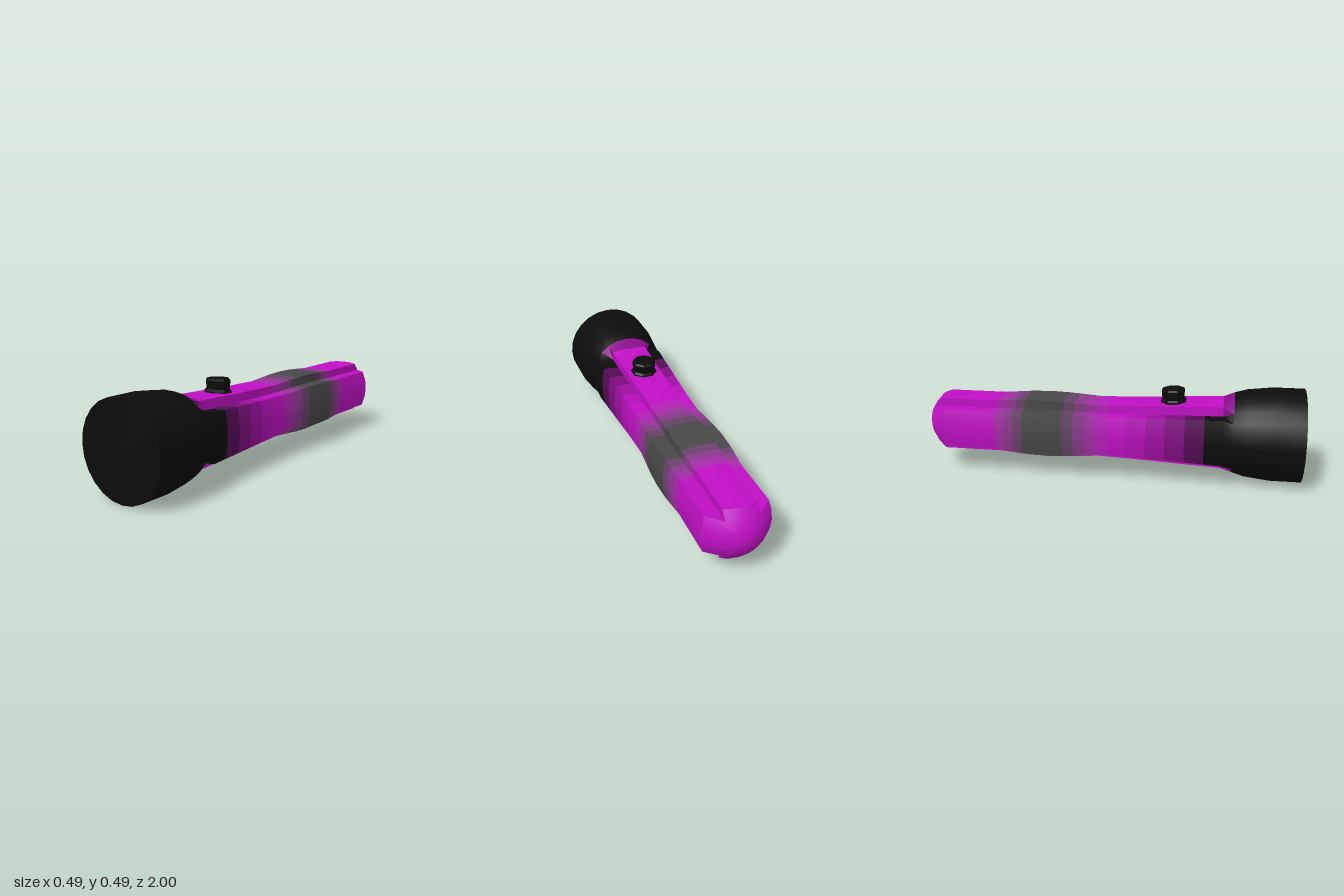
import * as THREE from 'three';
import { toCreasedNormals } from 'three/addons/utils/BufferGeometryUtils.js';

const CY = 0.245; // height of the long axis
const SIDES = 24;
const BLACK = 0x0c0c0c, PURPLE = 0xc010c4, GREY = 0x484848;

// Linear interpolation through [z, value] stops ordered front to back
function stopAt(stops, z) {
  let i = 0;
  while (i < stops.length - 2 && z < stops[i + 1][0]) i++;
  const [z0, a] = stops[i], [z1, b] = stops[i + 1];
  return [a, b, THREE.MathUtils.clamp((z0 - z) / (z0 - z1), 0, 1)];
}

// Grip quadrant: rounded side, square notch, gently crowned top
const QUADRANT = [[0.17, 0], [0.168, 0.05], [0.158, 0.103], [0.084, 0.099], [0.084, 0.141], [0.044, 0.144], [0, 0.145]];

function gripPoint(j) {
  const q = Math.floor(j / 6) % 4, k = j % 6;
  const [x, y] = QUADRANT[q % 2 ? 6 - k : k];
  return [q === 1 || q === 2 ? -x : x, q >= 2 ? -y : y];
}

const gripRing = (s, zAt) => Array.from({ length: SIDES }, (_, j) => {
  const [x, y] = gripPoint(j);
  return new THREE.Vector3(x * s, CY + y * s, zAt(Math.hypot(x, y) * s));
});

const roundRing = (r, z) => Array.from({ length: SIDES }, (_, j) => {
  const t = (j / SIDES) * Math.PI * 2;
  return new THREE.Vector3(r * Math.cos(t), CY + r * Math.sin(t), z);
});

// Grip swelling along its length
const SWELL = [[0.59, 1.18], [0.3, 1.09], [0.1, 1.03], [-0.06, 1], [-0.24, 1.08], [-0.34, 1.1], [-0.45, 1.08], [-0.6, 1], [-1, 1]];
const GRIP_Z = [0.59, 0.5, 0.4, 0.3, 0.2, 0.1, 0, -0.06, -0.12, -0.18, -0.24, -0.34, -0.45, -0.5, -0.55, -0.6, -0.68];

// Colour fades, sampled once per band
const REAR_FADE = [[-0.24, GREY], [-0.44, GREY], [-0.64, PURPLE], [-1, PURPLE]];
const FADES = {
  ridge: [[0.66, BLACK], [0.57, PURPLE], [0, PURPLE], ...REAR_FADE],
  side: [[0.52, BLACK], [0.1, PURPLE], [0, PURPLE], ...REAR_FADE],
};

function bandColor(zone, z) {
  const [a, b, t] = stopAt(FADES[zone], z);
  return new THREE.Color(a).lerp(new THREE.Color(b), t);
}

function buildBody(group) {
  // Rings from the lens, back through the flared head and grip, to the domed tail
  const rings = [roundRing(0, 1)];
  const names = [];
  const add = (ring, name) => { rings.push(ring); names.push(name); };
  add(roundRing(0.244, 1), 'lens');
  for (const [z, r] of [[0.84, 0.244], [0.71, 0.229], [0.645, 0.21]]) add(roundRing(r, z), 'head');
  for (const z of GRIP_Z) {
    const [a, b, t] = stopAt(SWELL, z);
    add(gripRing(a + (b - a) * t, () => z), z === 0.59 ? 'collar' : 'grip');
  }
  const dome = (r) => -1 + 3.46 * r * r;
  add(gripRing(1, dome), 'grip');
  for (const s of [0.75, 0.5, 0.25, 0]) add(gripRing(s, dome), 'tailCap');

  // Skin the rings, tagging each triangle with its part
  const pts = [], tags = [], parts = new Map();
  const tri = (a, b, c, key) => {
    if (a.distanceTo(b) < 1e-6 || b.distanceTo(c) < 1e-6 || a.distanceTo(c) < 1e-6) return;
    pts.push(a, b, c);
    tags.push(key);
  };
  names.forEach((name, i) => {
    const A = rings[i], B = rings[i + 1];
    const banded = name === 'grip' || name === 'collar';
    for (let j = 0; j < SIDES; j++) {
      const k = (j + 1) % SIDES;
      const zone = j % 12 >= 3 && j % 12 < 9 ? 'ridge' : 'side';
      const key = banded ? `${zone}${name === 'grip' ? 'Grip' : 'Collar'}${i}` : name;
      if (!parts.has(key)) {
        const color = banded ? bandColor(zone, (A[j].z + B[j].z) / 2)
          : new THREE.Color(name === 'tailCap' ? PURPLE : BLACK);
        parts.set(key, { color, pos: [], nor: [] });
      }
      tri(A[j], B[j], A[k], key);
      tri(A[k], B[j], B[k], key);
    }
  });

  // Shade the whole skin at once, so that bands join smoothly, then separate the parts
  const skin = toCreasedNormals(new THREE.BufferGeometry().setFromPoints(pts), 0.65);
  const P = skin.attributes.position.array, N = skin.attributes.normal.array;
  tags.forEach((key, t) => {
    const part = parts.get(key);
    for (let n = t * 9; n < t * 9 + 9; n++) {
      part.pos.push(P[n]);
      part.nor.push(N[n]);
    }
  });
  for (const [key, { color, pos, nor }] of parts) {
    const geo = new THREE.BufferGeometry();
    geo.setAttribute('position', new THREE.Float32BufferAttribute(pos, 3));
    geo.setAttribute('normal', new THREE.Float32BufferAttribute(nor, 3));
    const mesh = new THREE.Mesh(geo, new THREE.MeshStandardMaterial({ color }));
    mesh.name = key;
    group.add(mesh);
  }
}

export function createModel() {
  const model = new THREE.Group();
  model.name = 'flashlight';
  const body = new THREE.Group();
  body.name = 'body';
  buildBody(body);
  model.add(body);

  // Eight-sided push button with a small skirt, following the slope of the grip
  const profile = [[0.072, -0.01], [0.07, 0.006], [0.06, 0.016], [0.064, 0.06], [0.056, 0.068], [0, 0.07]]
    .map(([r, y]) => new THREE.Vector2(r, y));
  const button = new THREE.Mesh(
    new THREE.LatheGeometry(profile, 8, Math.PI / 8),
    new THREE.MeshStandardMaterial({ color: BLACK, flatShading: true }),
  );
  button.name = 'button';
  button.position.set(0, 0.404, 0.33);
  button.rotation.x = -0.045;
  model.add(button);
  return model;
}
